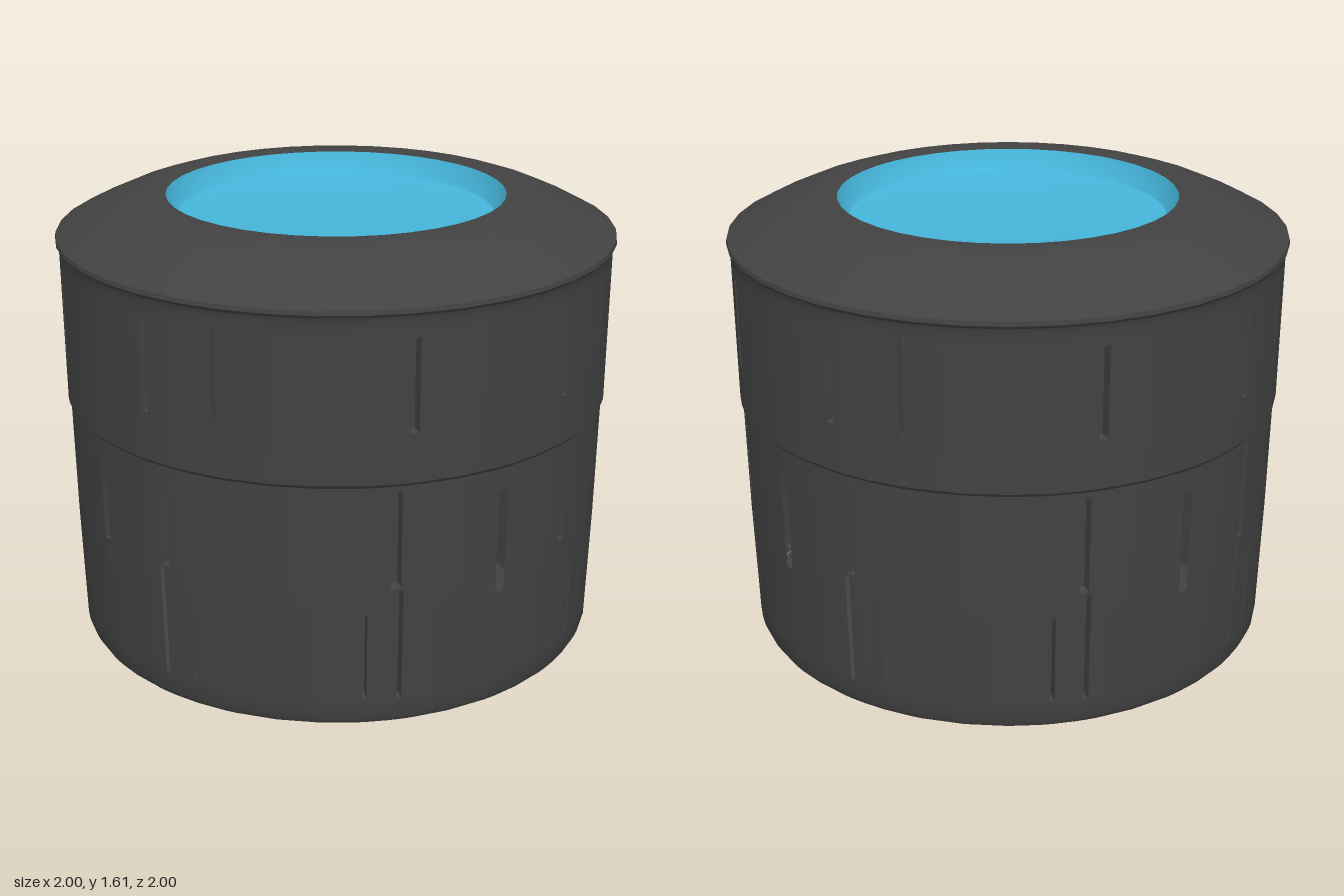
import * as THREE from 'three';
import { toCreasedNormals } from 'three/addons/utils/BufferGeometryUtils.js';

const TAU = Math.PI * 2;
const EPS = 0.004;

// Wall radius by height: slight taper, shallow step between the two tiers
const WALL = [[0, 0.945], [0.02, 0.955], [0.45, 0.967], [0.878, 0.973], [0.89, 0.982], [1.44, 0.985], [1.455, 0.99]];

function wallRadius(y) {
  for (let i = 1; i < WALL.length; i++) {
    const [y0, r0] = WALL[i - 1], [y1, r1] = WALL[i];
    if (y <= y1) return r0 + (r1 - r0) * (y - y0) / (y1 - y0);
  }
  return WALL[WALL.length - 1][1];
}

// Slots in the wall: centre angle in degrees, height range, width, recessed or cut through
function makeSlots() {
  const slots = [];
  const add = (deg, y0, y1, width, open = false) => {
    const a = ((deg + 360) % 360) * Math.PI / 180;
    slots.push({ a0: a - width / 2, a1: a + width / 2, y0, y1, open });
  };
  for (let k = 0; k < 4; k++) {
    const c = k * 90 + 0.01;
    const side = k % 2 === 1;
    add(c + 2, 0.5, 0.8, 0.04);
    add(c + 2, 0.42, 0.495, 0.035, true);
    for (const s of [-1, 1]) {
      add(c + s * 21, 0.51, 0.86, 0.035);
      add(c + s * 20, 0.09, 0.5, 0.018, side);
      add(c + s * 27, 0.1, 0.42, 0.014);
      add(c + s * 18, 1.06, 1.38, 0.03);
    }
    add(c + 34, 1.07, 1.4, 0.012);
    add(c + 62, 1.07, 1.15, 0.05, true);
  }
  return slots;
}

// Curved grid that dips at the recessed slots and skips the open ones
function wallGeometry() {
  const slots = makeSlots();
  const angles = [], heights = WALL.map(p => p[0]);
  for (let i = 0; i <= 40; i++) angles.push(i / 40 * TAU);
  for (const s of slots) {
    angles.push(s.a0, s.a0 + EPS, s.a1 - EPS, s.a1);
    heights.push(s.y0, s.y0 + EPS, s.y1 - EPS, s.y1);
  }
  const tidy = (list, max) => list.filter(v => v >= 0 && v <= max)
    .sort((a, b) => a - b).filter((v, i, l) => i === 0 || v - l[i - 1] > 1e-5);
  const as = tidy(angles, TAU), ys = tidy(heights, 2);
  const within = (a, y, s, m) => a > s.a0 + m && a < s.a1 - m && y > s.y0 + m && y < s.y1 - m;

  const pos = [], index = [];
  for (const y of ys) for (const a of as) {
    const dip = slots.some(s => !s.open && within(a, y, s, EPS / 2)) ? 0.04 : 0;
    const r = wallRadius(y) - dip;
    pos.push(Math.sin(a) * r, y, Math.cos(a) * r);
  }
  const n = as.length;
  for (let j = 0; j < ys.length - 1; j++) for (let i = 0; i < n - 1; i++) {
    const a = (as[i] + as[i + 1]) / 2, y = (ys[j] + ys[j + 1]) / 2;
    if (slots.some(s => s.open && within(a, y, s, 0))) continue;
    const p = j * n + i;
    index.push(p, p + 1, p + n + 1, p, p + n + 1, p + n);
  }
  const g = new THREE.BufferGeometry();
  g.setAttribute('position', new THREE.Float32BufferAttribute(pos, 3));
  g.setIndex(index);
  return toCreasedNormals(g, 0.6);
}

function lathe(points, crease) {
  const g = new THREE.LatheGeometry(points.map(p => new THREE.Vector2(...p)), 40);
  return toCreasedNormals(g, crease);
}

export function createModel() {
  const group = new THREE.Group();
  const dark = new THREE.MeshStandardMaterial({ color: 0x424242, side: THREE.DoubleSide });
  const blue = new THREE.MeshStandardMaterial({ color: 0x45b5da, side: THREE.DoubleSide });
  dark.name = 'charcoal';
  blue.name = 'skyBlue';

  const add = (name, geometry, material) => {
    const mesh = new THREE.Mesh(geometry, material);
    mesh.name = name;
    group.add(mesh);
  };

  // Slotted drum wall and flat base
  add('wall', wallGeometry(), dark);
  add('base', lathe([[0, 0], [0.945, 0]], 0.6), dark);

  // Overhanging sloped collar with a flat lip
  add('collar', lathe([[0.975, 1.435], [0.998, 1.465], [0.995, 1.48], [0.9, 1.53], [0.8, 1.575],
    [0.71, 1.605], [0.66, 1.61], [0.605, 1.605]], 0.7), dark);

  // Sunken round panel inside the lip
  add('panel', lathe([[0, 1.52], [0.5, 1.52], [0.565, 1.53], [0.585, 1.555], [0.605, 1.605]], 0.7), blue);

  return group;
}
